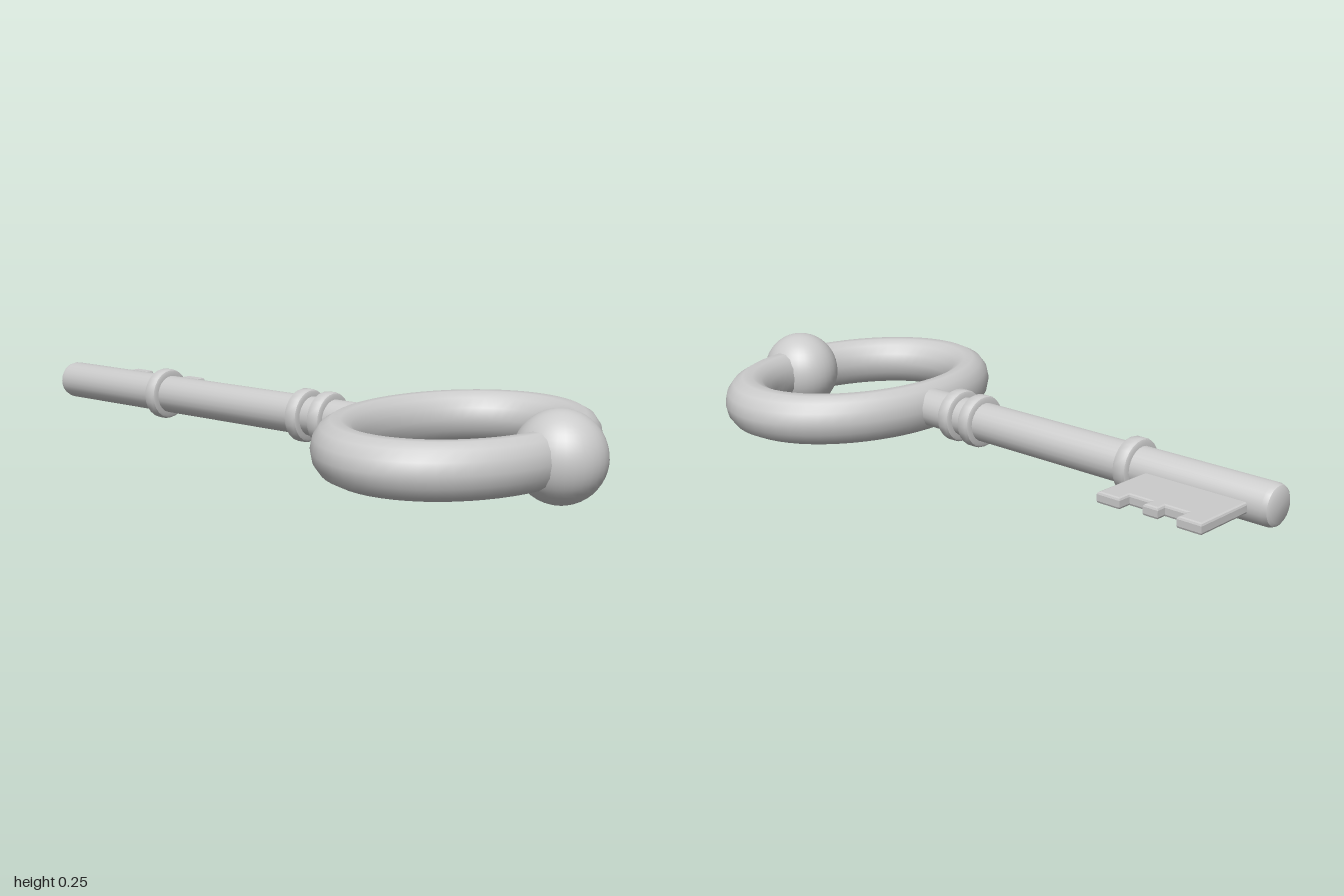
import * as THREE from 'three';
import { toCreasedNormals } from 'three/addons/utils/BufferGeometryUtils.js';

const material = new THREE.MeshStandardMaterial({ color: 0xcccccc });
const AXIS_Y = 0.131, AXIS_Z = -0.005;

function add(group, name, geometry, x, y, z) {
  const mesh = new THREE.Mesh(geometry, material);
  mesh.name = name;
  mesh.position.set(x, y, z);
  group.add(mesh);
  return mesh;
}

// Turned part along x; profile is a list of [radius, x]
function turned(profile, segments = 24) {
  const points = profile.map(([r, x]) => new THREE.Vector2(r, x));
  const geometry = new THREE.LatheGeometry(points, segments);
  geometry.rotateZ(-Math.PI / 2);
  return toCreasedNormals(geometry, 0.6);
}

export function createModel() {
  const key = new THREE.Group();
  key.name = 'key';

  // Shaft with a chamfered tip
  add(key, 'shaft', turned([
    [0, -1], [0.045, -1], [0.054, -0.994], [0.0585, -0.98], [0.0585, 0.25], [0, 0.25],
  ]), 0, AXIS_Y, AXIS_Z);

  // Rounded collars
  const collar = turned([
    [0.05, -0.022], [0.07, -0.022], [0.076, -0.019], [0.079, -0.012],
    [0.079, 0.012], [0.076, 0.019], [0.07, 0.022], [0.05, 0.022],
  ]);
  [-0.55, 0.03, 0.113].forEach((x, i) => add(key, 'collar' + (i + 1), collar, x, AXIS_Y, AXIS_Z));

  // Oval bow
  const bow = new THREE.TorusGeometry(0.392, 0.0765, 14, 56);
  bow.rotateX(Math.PI / 2);
  bow.scale(0.758, 1, 1);
  add(key, 'bow', bow, 0.566, 0.129, -0.001);

  // Ball on the end of the bow
  const ball = new THREE.SphereGeometry(0.1255, 32, 24);
  ball.scale(1, 1, 0.94);
  add(key, 'ball', ball, 0.872, 0.1275, 0);

  // Toothed bit: outline in x and distance behind the shaft, inset by the bevel
  const bevel = 0.007;
  const outline = [
    [-0.933, 0.02], [-0.627, 0.02], [-0.627, 0.25], [-0.686, 0.25], [-0.686, 0.209],
    [-0.764, 0.209], [-0.764, 0.239], [-0.796, 0.239], [-0.796, 0.209],
    [-0.874, 0.209], [-0.874, 0.25], [-0.933, 0.25],
  ];
  const bit = new THREE.ExtrudeGeometry(
    new THREE.Shape(outline.map(([x, d]) => new THREE.Vector2(x, d))),
    { depth: 0.018, bevelEnabled: true, bevelSize: bevel, bevelThickness: bevel, bevelSegments: 2 },
  );
  bit.rotateX(-Math.PI / 2);
  add(key, 'bit', bit, 0, 0.117, 0);

  return key;
}
